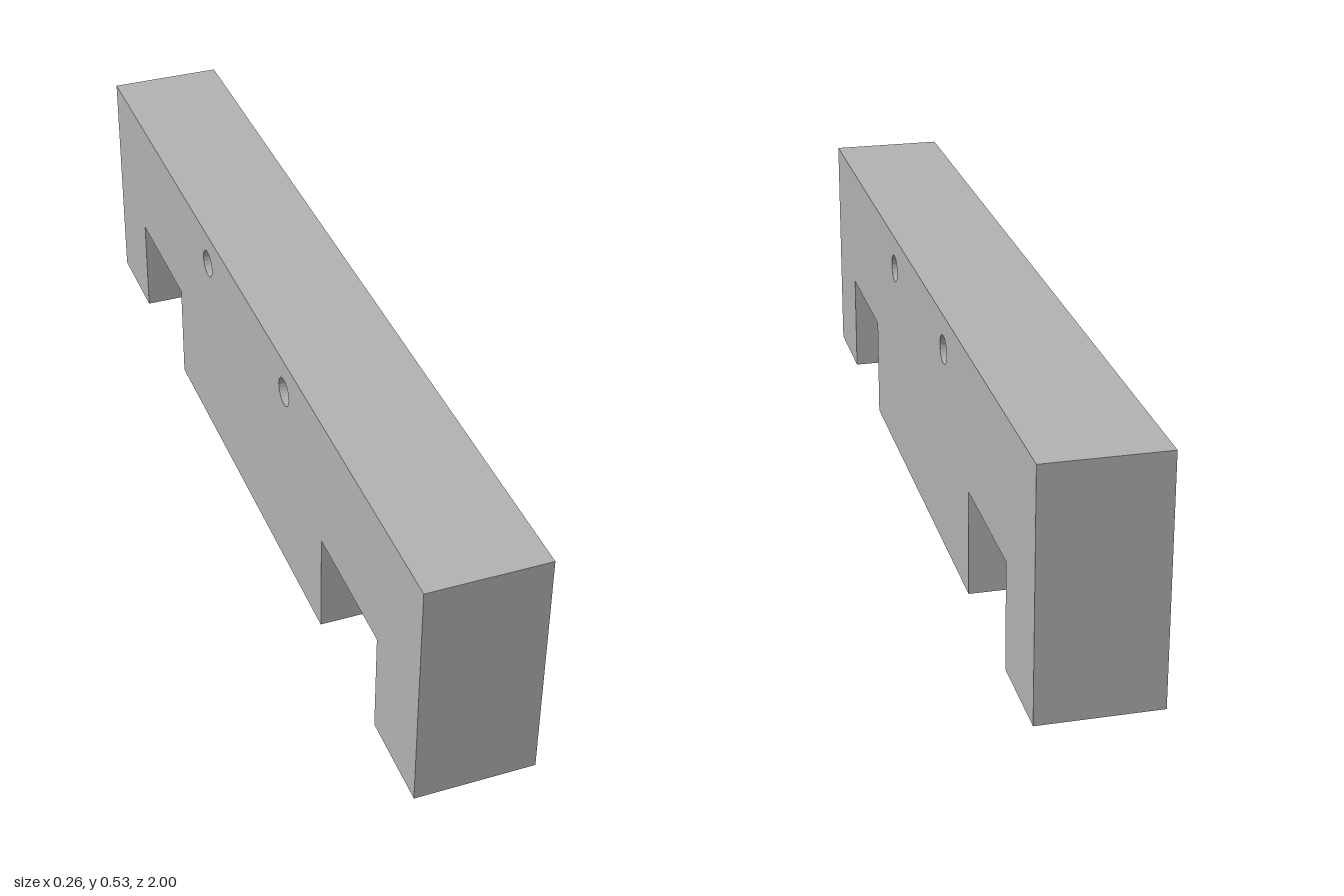
import * as THREE from 'three';
import { toCreasedNormals } from 'three/addons/utils/BufferGeometryUtils.js';

const WIDTH = 0.256, HEIGHT = 0.527;
const NOTCH_TOP = 0.232, NOTCH_IN = 0.485, NOTCH_OUT = 0.793;
const HOLE_Z = 0.257, HOLE_Y = 0.451, HOLE_R = 0.031;

export function createModel() {
  const group = new THREE.Group();
  group.name = 'notchedBlock';
  const grey = new THREE.MeshStandardMaterial({ color: 0xb2b2b2 });
  grey.name = 'grey';

  // Half of the side outline, mirrored to the other end
  const half = [
    [NOTCH_IN, 0], [NOTCH_IN, NOTCH_TOP], [NOTCH_OUT, NOTCH_TOP],
    [NOTCH_OUT, 0], [1, 0], [1, HEIGHT],
  ];
  const mirrored = half.map(([z, y]) => [-z, y]).reverse();
  const profile = new THREE.Shape([...half, ...mirrored].map(([z, y]) => new THREE.Vector2(z, y)));

  // Two round through-holes near the top edge
  for (const side of [-1, 1]) {
    const hole = new THREE.Path();
    hole.absarc(side * HOLE_Z, HOLE_Y, HOLE_R, 0, Math.PI * 2, true);
    profile.holes.push(hole);
  }

  // Extrude across the width, then turn the length onto z
  const extruded = new THREE.ExtrudeGeometry(profile, {
    depth: WIDTH, bevelEnabled: false, curveSegments: 32,
  });
  extruded.translate(0, 0, -WIDTH / 2);
  extruded.rotateY(-Math.PI / 2);

  const body = new THREE.Mesh(toCreasedNormals(extruded, Math.PI / 6), grey);
  body.name = 'body';
  group.add(body);
  return group;
}
